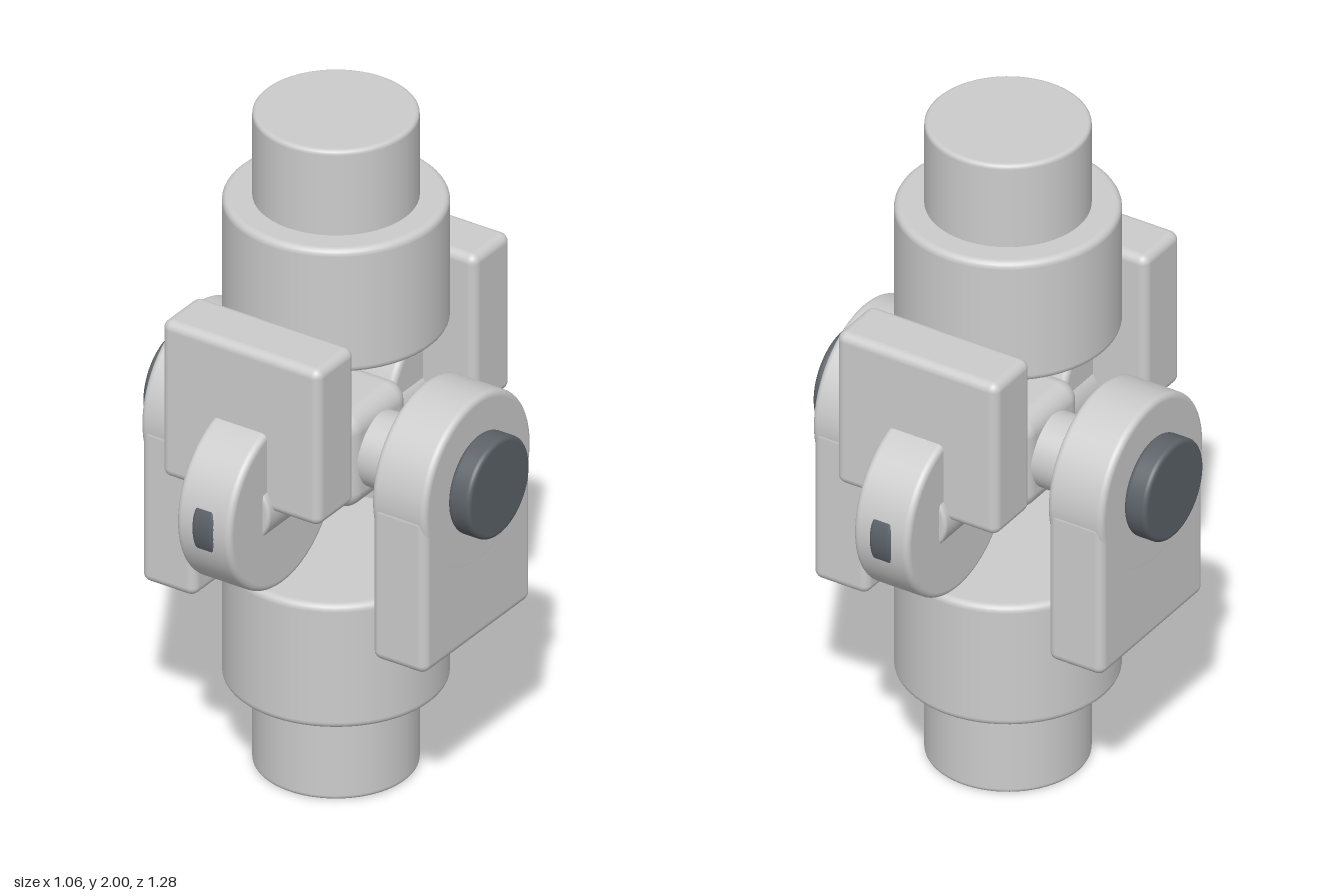
import * as THREE from 'three';
import { RoundedBoxGeometry } from 'three/addons/geometries/RoundedBoxGeometry.js';

const grey = new THREE.MeshStandardMaterial({ color: 0xcccccc });
const dark = new THREE.MeshStandardMaterial({ color: 0x5c6268 });
const PIVOT = 1.003; // height of the crossing pin axes

// Solid cylinder along y with rounded rims, centred on its own middle
function roundedCylinder(radius, height, bevel) {
  const half = height / 2, inner = radius - bevel, side = half - bevel;
  const rim = [];
  for (let i = 0; i <= 5; i++) {
    const a = (i / 5) * Math.PI / 2;
    rim.push([inner + bevel * Math.sin(a), side + bevel * Math.cos(a)]);
  }
  // extra points beside the rim keep caps and walls evenly shaded
  const top = [[0, half], [inner - 0.002, half], ...rim, [radius, side - 0.002]];
  const bottom = top.map(([r, y]) => [r, -y]);
  const profile = [...bottom, ...top.reverse()].map(([r, y]) => new THREE.Vector2(r, y));
  return new THREE.LatheGeometry(profile, 64);
}

export function createModel() {
  const model = new THREE.Group();
  model.name = 'universalJoint';

  function add(name, geometry, x, y, z, material = grey) {
    const mesh = new THREE.Mesh(geometry, material);
    mesh.name = name;
    mesh.position.set(x, y, z);
    model.add(mesh);
    return mesh;
  }

  // Shafts and collars, mirrored about the pivot
  const shaft = roundedCylinder(0.224, 0.34, 0.012);
  const collar = roundedCylinder(0.305, 0.38, 0.018);
  for (const [end, s] of [['lower', -1], ['upper', 1]]) {
    add(end + 'Shaft', shaft, 0, 1 + s * 0.83, 0);
    add(end + 'Collar', collar, 0, PIVOT + s * 0.548, 0);
  }

  // Yoke plates, bosses and pin caps; every boss and cap turns about x
  const plate = new RoundedBoxGeometry(0.175, 0.48, 0.51, 4, 0.026);
  const boss = roundedCylinder(0.255, 0.175, 0.016);
  const cap = roundedCylinder(0.146, 0.07, 0.012);
  for (const [side, s] of [['left', 1], ['right', -1]]) {
    add(side + 'LowerArm', plate, s * 0.372, 0.76, 0);
    add(side + 'LowerBoss', boss, s * 0.372, PIVOT, 0).rotation.z = Math.PI / 2;
    add(side + 'PinCap', cap, s * 0.493, PIVOT, 0, dark).rotation.z = Math.PI / 2;
  }
  for (const [side, s] of [['front', 1], ['back', -1]]) {
    add(side + 'UpperArm', plate, 0, 1.247, s * 0.372).rotation.y = Math.PI / 2;
    add(side + 'UpperBoss', boss, 0, PIVOT, s * 0.38).rotation.z = Math.PI / 2;
    add(side + 'PinCap', cap, 0, PIVOT, s * 0.495, dark).rotation.z = Math.PI / 2;
  }

  // Cross in the middle: hub and two pins
  const pin = roundedCylinder(0.108, 0.96, 0.01);
  add('crossHub', new RoundedBoxGeometry(0.29, 0.29, 0.29, 5, 0.055), 0, PIVOT, 0);
  add('crossPinX', pin, 0, PIVOT, 0).rotation.z = Math.PI / 2;
  add('crossPinZ', pin, 0, PIVOT, 0).rotation.x = Math.PI / 2;

  return model;
}
